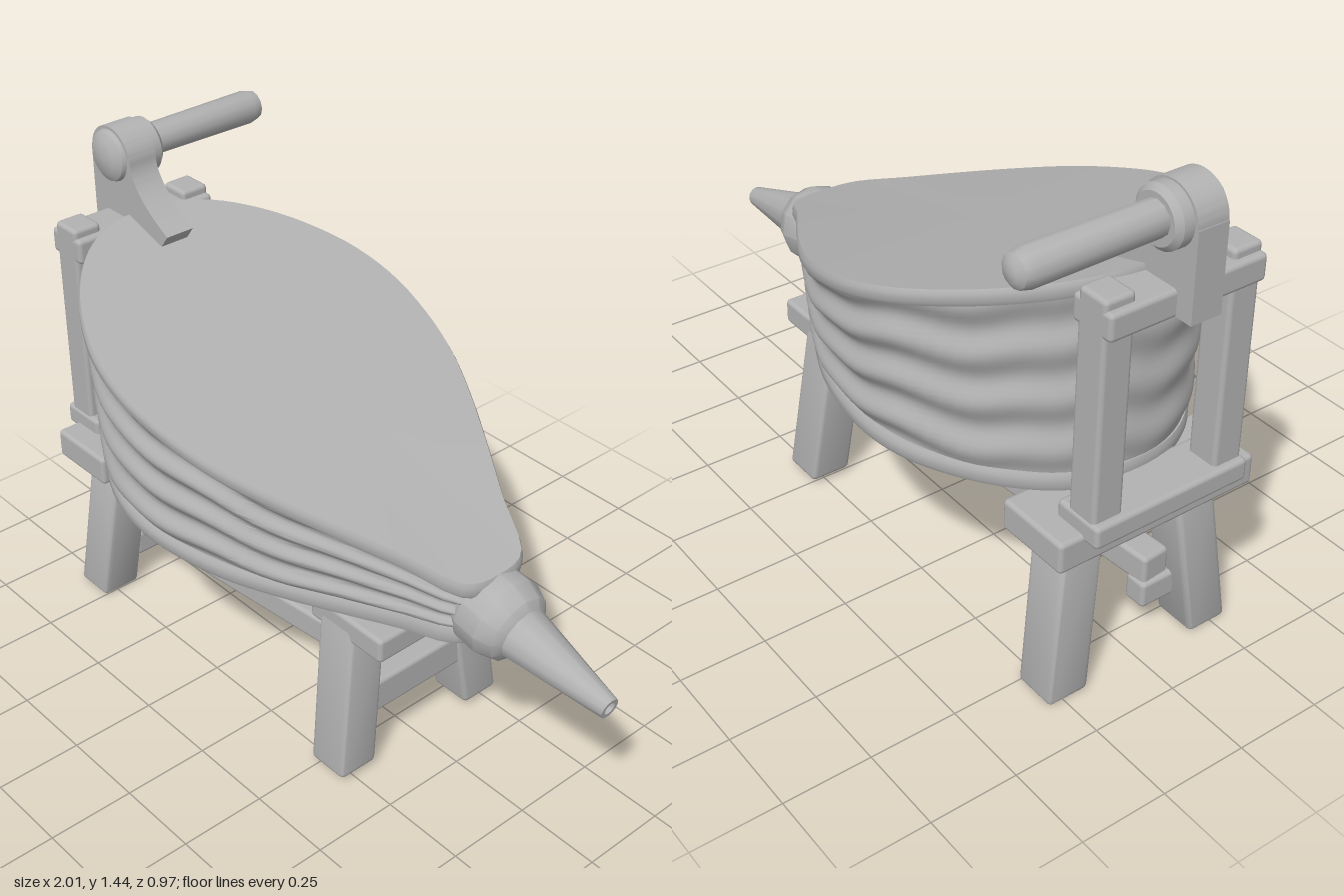
import * as THREE from 'three';
import { toCreasedNormals } from 'three/addons/utils/BufferGeometryUtils.js';
import { RoundedBoxGeometry } from 'three/addons/geometries/RoundedBoxGeometry.js';

const V2 = (x, y) => new THREE.Vector2(x, y);

// Teardrop outline in plan: back, round the +z side, to the spout, and back along -z
function outline() {
  const half = [[-0.83, 0.12], [-0.78, 0.225], [-0.7, 0.315], [-0.6, 0.39], [-0.45, 0.46], [-0.3, 0.484],
    [-0.15, 0.47], [0, 0.43], [0.15, 0.36], [0.3, 0.275], [0.45, 0.185], [0.6, 0.1]];
  const pts = [[-0.845, 0], ...half, [0.62, 0], ...half.slice().reverse().map(([x, z]) => [x, -z])];
  const curve = new THREE.CatmullRomCurve3(pts.map(([x, z]) => new THREE.Vector3(x, 0, z)), true);
  return curve.getPoints(96).slice(0, 96);
}

const topY = (x) => 0.94 - 0.33 * x - 0.03 * x * x;
const bottomY = (x) => 0.542 - 0.04 * x;

// Solid made of stacked outlines; each level gives a height rule and a scale rule
function loft(levels) {
  const ring = outline(), n = ring.length, pos = [], index = [];
  for (const { y, scale } of levels) {
    ring.forEach((p, i) => {
      const s = scale(p, i / n);
      const x = -0.2 + (p.x + 0.2) * (1 - (1 - s) * 0.4);
      pos.push(x, y(x), p.z * s);
    });
  }
  for (let l = 0; l < levels.length - 1; l++) {
    for (let i = 0; i < n; i++) {
      const a = l * n + i, b = l * n + (i + 1) % n;
      index.push(a, b, b + n, a, b + n, a + n);
    }
  }
  // Caps
  const last = levels.length - 1, c = pos.length / 3;
  pos.push(-0.2, levels[0].y(-0.2), 0, -0.2, levels[last].y(-0.2), 0);
  for (let i = 0; i < n; i++) {
    const j = (i + 1) % n;
    index.push(c, j, i, c + 1, last * n + i, last * n + j);
  }
  const g = new THREE.BufferGeometry();
  g.setAttribute('position', new THREE.Float32BufferAttribute(pos, 3));
  g.setIndex(index);
  return toCreasedNormals(g, 0.75);
}

// Flat board following a height rule, with softened edges
function board(y, thickness, width) {
  return loft([[0, -0.015], [0.25, 0], [0.75, 0], [1, -0.015]].map(([t, inset]) => ({
    y: (x) => y(x) + t * thickness, scale: () => width + inset,
  })));
}

export function createModel() {
  const model = new THREE.Group();
  const grey = new THREE.MeshStandardMaterial({ color: 0xb2b2b2 });
  const add = (name, geometry, x = 0, y = 0, z = 0) => {
    const mesh = new THREE.Mesh(geometry, grey);
    mesh.name = name;
    mesh.position.set(x, y, z);
    model.add(mesh);
    return mesh;
  };
  // Beam given by its extents on each axis
  const beam = (name, x0, x1, y0, y1, z0, z1) => add(name,
    new RoundedBoxGeometry(x1 - x0, y1 - y0, z1 - z0, 2, 0.013),
    (x0 + x1) / 2, (y0 + y1) / 2, (z0 + z1) / 2);

  // Bellows boards
  add('topBoard', board((x) => topY(x) - 0.045, 0.045, 1));
  add('bottomBoard', board(bottomY, 0.05, 0.91));

  // Pleated leather, with folds fanning out from the spout
  const folds = [];
  for (let k = 0; k <= 32; k++) {
    const t = k / 32;
    folds.push({
      y: (x) => THREE.MathUtils.lerp(bottomY(x) + 0.04, topY(x) - 0.035, t),
      scale: (p, u) => {
        const wobble = 0.5 * Math.sin(u * 38) + 0.35 * Math.sin(u * 75 + 1);
        return 0.9 + 0.06 * t + 0.026 * Math.cos(t * Math.PI * 7 + Math.PI + wobble);
      },
    });
  }
  add('leatherFolds', loft(folds));

  // Collar and spout, with a hollow tip
  const spoutProfile = [[0, 0], [0.1, 0], [0.116, 0.03], [0.118, 0.1], [0.1, 0.148], [0.076, 0.165],
    [0.03, 0.463], [0.018, 0.463], [0.015, 0.4], [0, 0.4]].map(([r, d]) => V2(r, d));
  const spout = add('spout', toCreasedNormals(new THREE.LatheGeometry(spoutProfile, 12), 0.6), 0.545, 0.62, 0);
  spout.quaternion.setFromUnitVectors(new THREE.Vector3(0, 1, 0), new THREE.Vector3(0.455, -0.084, 0).normalize());

  // Splayed legs
  const leg = (name, footX, headX, footY, side) => {
    const h = 0.5 - footY, g = new RoundedBoxGeometry(0.13, h, 0.125, 2, 0.015), p = g.attributes.position;
    for (let i = 0; i < p.count; i++) {
      const t = p.getY(i) / h + 0.5;
      p.setX(i, p.getX(i) + THREE.MathUtils.lerp(footX, headX, t));
      p.setZ(i, p.getZ(i) + side * THREE.MathUtils.lerp(0.236, 0.175, t));
    }
    g.computeVertexNormals();
    add(name, toCreasedNormals(g, 0.6), 0, footY + h / 2, 0);
  };
  for (const side of [1, -1]) {
    leg('backLeg', -0.81, -0.775, 0.005, side);
    leg('frontLeg', 0.295, 0.265, 0.02, side);
    beam('post', -0.93, -0.835, 0.56, 1.205, side * 0.19 - 0.045, side * 0.19 + 0.045);
  }

  // Stand beams and stretchers
  beam('backBeam', -0.905, -0.68, 0.46, 0.55, -0.31, 0.31);
  beam('postSill', -0.95, -0.8, 0.53, 0.595, -0.24, 0.24);
  beam('postCrossbar', -0.95, -0.815, 1.105, 1.18, -0.235, 0.235);
  beam('frontBeam', 0.165, 0.44, 0.45, 0.525, -0.24, 0.24);
  beam('frontStretcher', 0.24, 0.34, 0.17, 0.275, -0.18, 0.18);
  const stretcher = beam('longStretcher', -0.8, 0.27, 0.168, 0.255, -0.045, 0.045);
  stretcher.position.z = 0.06;
  stretcher.rotation.y = 0.09;
  beam('stretcherPeg', -0.81, -0.74, 0.1, 0.18, 0.055, 0.17);

  // Lever arm: round head on an upright, with a tail down to the top board
  const arm = new THREE.Shape();
  arm.moveTo(-1, 1.11);
  arm.lineTo(-1, 1.35);
  arm.absarc(-0.908, 1.35, 0.09, Math.PI, 0, true);
  arm.quadraticCurveTo(-0.81, 1.27, -0.66, 1.19);
  arm.lineTo(-0.69, 1.15);
  arm.lineTo(-0.82, 1.18);
  arm.lineTo(-0.86, 1.11);
  const armGeometry = new THREE.ExtrudeGeometry(arm, { depth: 0.09, bevelEnabled: false, curveSegments: 20 });
  add('leverArm', toCreasedNormals(armGeometry, 0.6), 0, 0, -0.045);

  // Pivot and handle
  const pivotProfile = [[0, -0.09], [0.065, -0.09], [0.08, -0.075], [0.08, 0.035], [0.072, 0.058],
    [0.05, 0.072], [0, 0.078]].map(([r, d]) => V2(r, d));
  const pivot = add('pivot', toCreasedNormals(new THREE.LatheGeometry(pivotProfile, 24), 0.6), -0.908, 1.355, 0);
  pivot.rotation.x = Math.PI / 2;
  const handleProfile = [[0, 0], [0.046, 0], [0.049, 0.37], [0.042, 0.4], [0.025, 0.412], [0, 0.415]].map(([r, d]) => V2(r, d));
  const handle = add('handle', toCreasedNormals(new THREE.LatheGeometry(handleProfile, 12), 0.6), -0.912, 1.36, -0.075);
  handle.rotation.x = -Math.PI / 2;

  return model;
}
